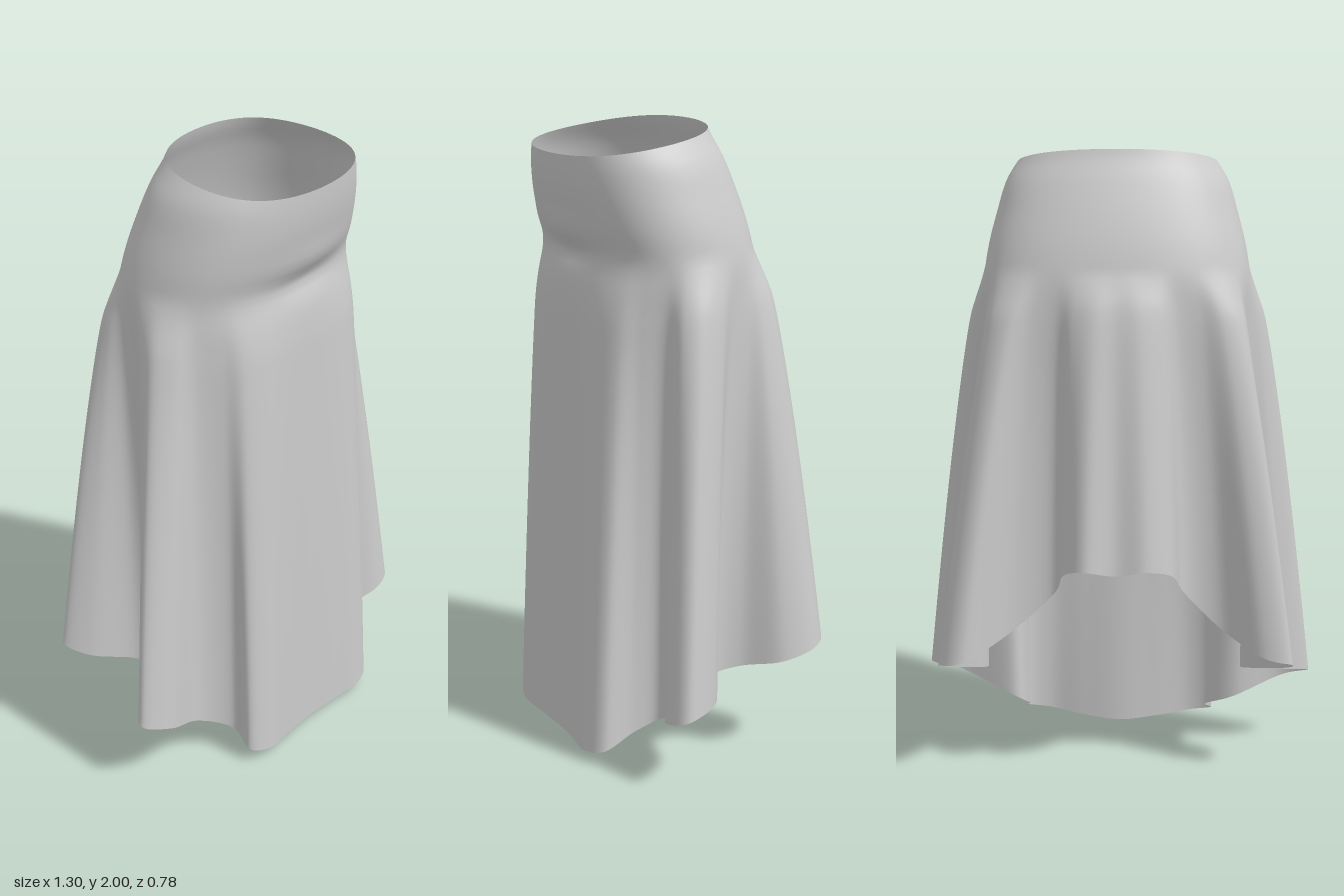
import * as THREE from 'three';
import { mergeVertices } from 'three/addons/utils/BufferGeometryUtils.js';

const COLS = 288, ROWS = 72;

// Hem folds seen from above (x, z), in even steps from the front round by +x
const folds = [
  [0, .335], [.13, .36], [.24, .385], [.32, .35], [.31, .24], [.36, .165], // front edge
  [.55, .255], [.645, .225], [.585, .1], [.44, .03], // side fold
  [.45, -.07], [.55, -.165], [.565, -.28], [.48, -.335], [.34, -.225], // rear fold
  [.2, -.21], [.165, -.32], [.1, -.39], [0, -.37], [-.1, -.385], [-.18, -.33], [-.22, -.2], // back
  [-.34, -.175], [-.47, -.265], [-.565, -.26], [-.53, -.17], [-.42, -.06], // rear fold
  [-.43, .04], [-.56, .065], [-.65, .13], [-.56, .185], [-.4, .165], // side fold
  [-.305, .24], [-.325, .325], [-.25, .36], [-.13, .345], // front edge
];

// Hem height from front to back, the same on both sides
const cut = [0, .012, .03, .05, .09, .14, .21, .245, .265, .285, .305, .335, .37, .395, .465,
  .59, .675, .7, .685];

const hemCurve = new THREE.CatmullRomCurve3(folds.map(([x, z], i) =>
  new THREE.Vector3(x, cut[Math.min(i, folds.length - i)], z)), true, 'catmullrom', 0.5);

// Body under the cloth from waist to hips: size against height
const profile = pairs => new THREE.SplineCurve(pairs.map((v, i) => new THREE.Vector2(2 - i * 0.1, v)));
const halfWidth = profile([.305, .36, .39, .415, .43, .437, .44]);
const frontZ = profile([.355, .357, .348, .325, .297, .305, .31]);
const backZ = profile([-.12, -.162, -.2, -.23, -.25, -.262, -.265]);

// Rounds an ellipse slightly towards a box
const soft = v => v * (1.12 - 0.12 * v * v);

// Point of the cloth on the body at an angle and height
function bodyPoint(angle, y) {
  const t = THREE.MathUtils.clamp((2 - y) / 0.6, 0, 1);
  const front = frontZ.getPoint(t).y, back = backZ.getPoint(t).y;
  const x = soft(Math.sin(angle)) * halfWidth.getPoint(t).y;
  let z = (front + back) / 2 + soft(Math.cos(angle)) * (front - back) / 2;
  // shallow crease below the belly
  if (Math.cos(angle) > 0) {
    z -= 0.018 * Math.exp(-((x / 0.16) ** 2) - ((y - 1.6 - 0.3 * x * x) / 0.035) ** 2);
    z += 0.008 * Math.exp(-((x / 0.2) ** 2) - ((y - 1.68) / 0.05) ** 2);
  }
  return new THREE.Vector3(x, y, z);
}

function skirtGeometry() {
  const positions = [], index = [];
  for (let i = 0; i <= COLS; i++) {
    const u = (i % COLS) / COLS;
    const hem = hemCurve.getPoint(u);
    // the front panel takes a wider share of the hips
    const angle = 2 * Math.PI * u + 0.26 * Math.sin(2 * Math.PI * u);
    // the waistline sits higher at the back
    const top = 1.957 - 0.043 * Math.cos(angle);
    for (let j = 0; j <= ROWS; j++) {
      const y = THREE.MathUtils.lerp(top, hem.y, j / ROWS);
      const p = bodyPoint(angle, y);
      // folds open from the hips down to the hem
      const t = Math.max(0, (1.62 - y) / (1.62 - hem.y));
      const w = t ** 0.72 * THREE.MathUtils.smoothstep(t, -0.08, 0.12);
      p.x += (hem.x - p.x) * w;
      p.z += (hem.z - p.z) * w;
      positions.push(p.x, p.y, p.z);
      if (i < COLS && j < ROWS) {
        const a = i * (ROWS + 1) + j, b = a + ROWS + 1;
        index.push(a, a + 1, b, b, a + 1, b + 1);
      }
    }
  }
  const sheet = new THREE.BufferGeometry();
  sheet.setAttribute('position', new THREE.Float32BufferAttribute(positions, 3));
  sheet.setIndex(index);
  const geometry = mergeVertices(sheet, 1e-5); // closes the seam
  geometry.computeVertexNormals();
  return geometry;
}

export function createModel() {
  const group = new THREE.Group();
  group.name = 'flaredSkirt';
  const material = new THREE.MeshStandardMaterial({ color: 0xcccccc, side: THREE.DoubleSide });
  const skirt = new THREE.Mesh(skirtGeometry(), material);
  skirt.name = 'skirt';
  group.add(skirt);
  return group;
}
